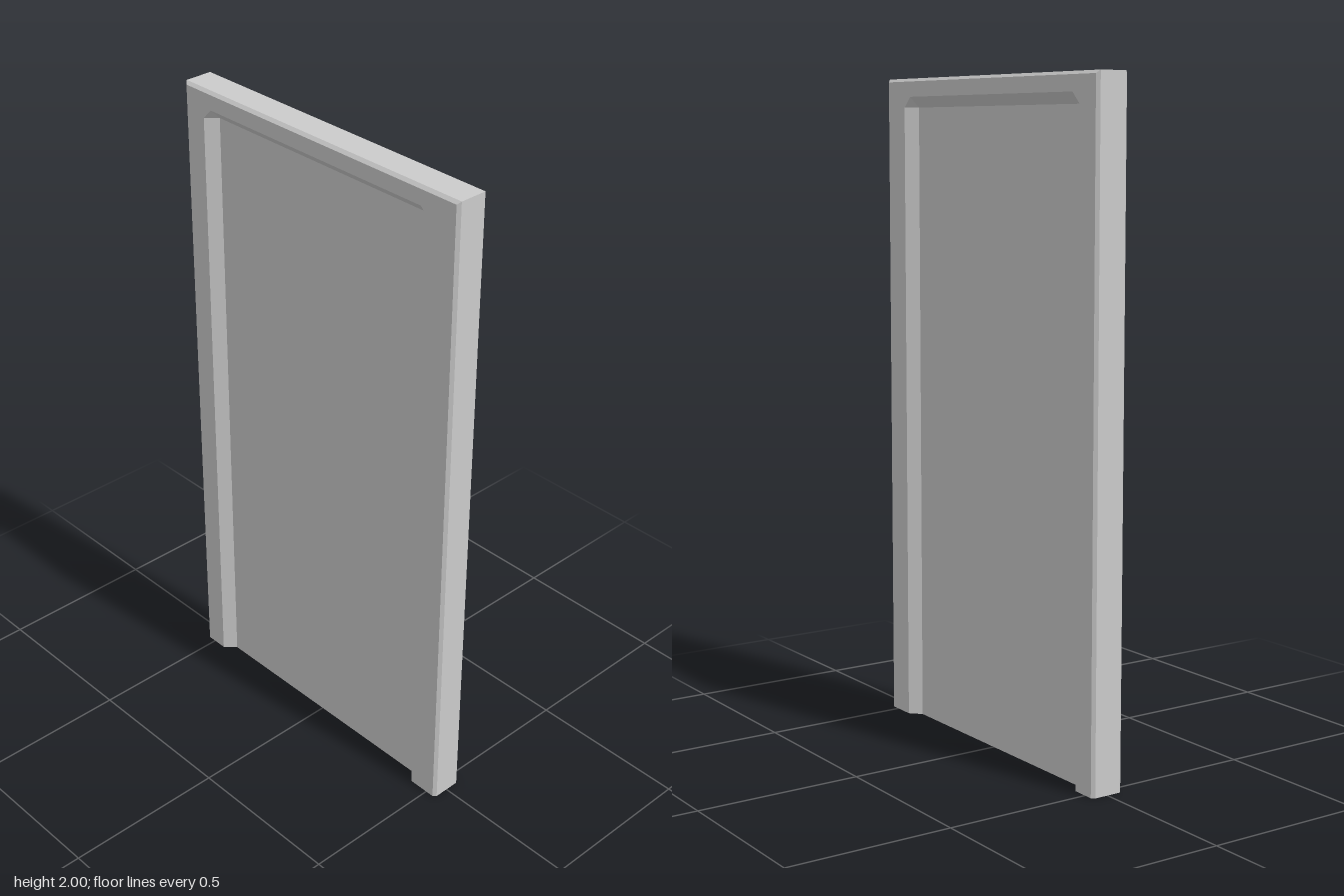
import * as THREE from 'three';

const TOP = 2, HALF_Z = 0.536, HALF_X = 0.052, PANEL_X = 0.02, EDGE = 0.009;

// Arch-shaped outline [x, y, z] from the foot of the +z jamb over the top to the foot of the -z jamb.
// cut trims the two upper corners diagonally.
function outline(x, zFront, zBack, top, cut = 0) {
  return [
    [x, 0, zFront], [x, top - cut, zFront], [x, top, zFront - cut],
    [x, top, zBack + cut], [x, top - cut, zBack], [x, 0, zBack],
  ];
}

// Skin between successive outlines; side = -1 mirrors it to the other face.
function skin(outlines, side) {
  const pos = [];
  const tri = (a, b, c) => {
    const [p, q, r] = [a, b, c].map(([x, y, z]) => new THREE.Vector3(x * side, y, z));
    if (new THREE.Triangle(p, q, r).getArea() < 1e-8) return;
    for (const v of side > 0 ? [p, q, r] : [p, r, q]) pos.push(v.x, v.y, v.z);
  };
  for (let k = 0; k < outlines.length - 1; k++) {
    const a = outlines[k], b = outlines[k + 1];
    for (let i = 0; i < a.length - 1; i++) {
      tri(a[i], b[i], a[i + 1]);
      tri(a[i + 1], b[i], b[i + 1]);
    }
  }
  const geometry = new THREE.BufferGeometry();
  geometry.setAttribute('position', new THREE.Float32BufferAttribute(pos, 3));
  geometry.computeVertexNormals();
  return geometry;
}

export function createModel() {
  const model = new THREE.Group();
  model.name = 'door';
  // The shell is open underneath
  const material = new THREE.MeshStandardMaterial({
    color: 0xcccccc, flatShading: true, side: THREE.DoubleSide,
  });

  // Outer rim, softened edge, flat face, then a bevel sinking to the panel
  const profile = [
    outline(0, HALF_Z, -HALF_Z, TOP),
    outline(HALF_X - EDGE, HALF_Z, -HALF_Z, TOP),
    outline(HALF_X, HALF_Z - EDGE, -HALF_Z + EDGE, TOP - EDGE),
    outline(HALF_X, 0.436, -0.455, 1.945, 0.032),
    outline(PANEL_X, 0.404, -0.423, 1.913),
  ];
  const panelHeight = 1.913, panelFront = 0.404, panelBack = -0.423;

  for (const side of [1, -1]) {
    const label = side > 0 ? 'Left' : 'Right';

    const frame = new THREE.Mesh(skin(profile, side), material);
    frame.name = 'frame' + label;
    model.add(frame);

    // Recessed flat panel
    const panel = new THREE.Mesh(new THREE.PlaneGeometry(panelFront - panelBack, panelHeight), material);
    panel.name = 'panel' + label;
    panel.rotation.y = side * Math.PI / 2;
    panel.position.set(side * PANEL_X, panelHeight / 2, (panelFront + panelBack) / 2);
    model.add(panel);
  }
  return model;
}
